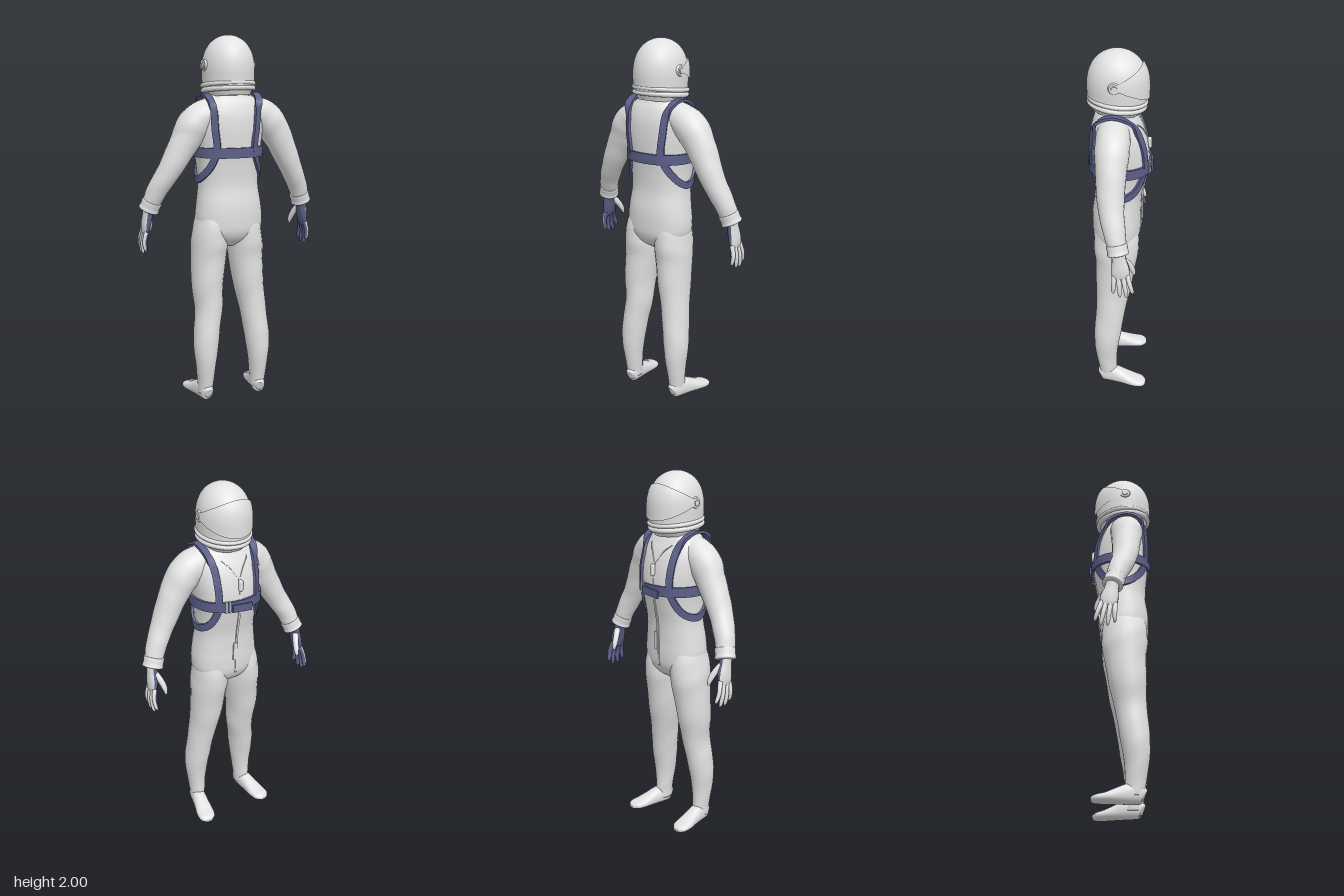
import * as THREE from 'three';

const suit = new THREE.MeshStandardMaterial({ color: 0xe2e2e2 });
const webbing = new THREE.MeshStandardMaterial({ color: 0x5b5f88 });
suit.name = 'suitGrey';
webbing.name = 'webbingBlue';

const V = (x, y, z) => new THREE.Vector3(x, y, z);
const Z = V(0, 0, 1), Y = V(0, 1, 0);

function add(parent, name, geo, mat = suit) {
  const m = new THREE.Mesh(geo, mat);
  m.name = name;
  parent.add(m);
  return m;
}

function buildGeometry(pos, idx) {
  const g = new THREE.BufferGeometry();
  g.setAttribute('position', new THREE.Float32BufferAttribute(pos, 3));
  g.setIndex(idx);
  g.computeVertexNormals();
  return g;
}

// Smooth closed tube through sections [x, y, z, radiusA, radiusB].
// "level" keeps rings horizontal; "palm" puts the faces on that side (beyond "edge") in a second material group.
function loft(sections, { steps = 40, n = 24, ref = Z, level = false, pow = 2, fold = 0, palm = 0, edge = 0 } = {}) {
  const path = new THREE.CatmullRomCurve3(sections.map(s => V(s[0], s[1], s[2])), false, 'catmullrom');
  const size = new THREE.CatmullRomCurve3(sections.map(s => V(s[3], s[4], 0)), false, 'catmullrom');
  const pos = [], outer = [], inner = [];
  const down = sections[0][1] > sections[sections.length - 1][1];
  const rings = steps + 3;
  for (let i = 0; i < rings; i++) {
    const t = Math.min(Math.max((i - 1) / steps, 0), 1);
    const c = path.getPoint(t), r = size.getPoint(t);
    const T = level ? V(0, down ? -1 : 1, 0) : path.getTangent(t);
    const side = T.clone().cross(ref).normalize(), fwd = side.clone().cross(T);
    const cap = i === 0 || i === rings - 1 ? 0 : 1;
    for (let j = 0; j < n; j++) {
      const a = j / n * Math.PI * 2, co = Math.cos(a), si = Math.sin(a);
      const k = cap * (1 + fold * Math.sin(t * 40 + 2.5 * Math.sin(a)) * Math.sin(t * 9 + a));
      const p = c.clone()
        .addScaledVector(side, Math.sign(co) * Math.abs(co) ** (2 / pow) * r.x * k)
        .addScaledVector(fwd, Math.sign(si) * Math.abs(si) ** (2 / pow) * r.y * k);
      pos.push(p.x, p.y, p.z);
      if (i === rings - 1) continue;
      const j2 = (j + 1) % n, A = i * n + j, B = i * n + j2;
      const list = palm && Math.cos((j + 0.5) / n * Math.PI * 2) * palm > edge ? inner : outer;
      list.push(A, A + n, B, B, A + n, B + n);
    }
  }
  const g = buildGeometry(pos, [...outer, ...inner]);
  if (palm) {
    g.addGroup(0, outer.length, 0);
    g.addGroup(outer.length, inner.length, 1);
  }
  return g;
}

// Torso rings from crotch to neck: [y, half width, half depth, centre z]
const TORSO = [
  [0.865, 0.04, 0.05, 0.045], [0.9, 0.12, 0.1, 0.045], [0.95, 0.178, 0.128, 0.045], [1.02, 0.188, 0.135, 0.045],
  [1.1, 0.18, 0.134, 0.044], [1.2, 0.167, 0.13, 0.035], [1.3, 0.17, 0.142, 0.028], [1.4, 0.182, 0.156, 0.025],
  [1.5, 0.192, 0.153, 0.032], [1.58, 0.19, 0.138, 0.042], [1.64, 0.165, 0.113, 0.05], [1.68, 0.125, 0.092, 0.05],
  [1.72, 0.1, 0.085, 0.045],
];
const POW = 2.3;

// Lay a point on the torso; near the shoulder top it is left free. Returns [point, outward normal].
function lay(p, lift) {
  let i = 0;
  while (i < TORSO.length - 2 && TORSO[i + 1][0] < p.y) i++;
  const [A, B] = [TORSO[i], TORSO[i + 1]], f = THREE.MathUtils.clamp((p.y - A[0]) / (B[0] - A[0]), 0, 1);
  const [, a, b, cz] = A.map((v, k) => v + (B[k] - v) * f);
  const u = p.x / a, v = (p.z - cz) / b;
  const k = (Math.abs(u) ** POW + Math.abs(v) ** POW) ** (1 / POW);
  const w = THREE.MathUtils.clamp((1.66 - p.y) / 0.08, 0, 1);
  const nrm = V(u / a, 0, v / b).normalize();
  const q = V(p.x / k, p.y, cz + (p.z - cz) / k).addScaledVector(nrm, lift);
  return [p.clone().lerp(q, w), Y.clone().lerp(nrm, w).normalize()];
}

// Flat strap of rectangular section following the torso
function ribbon(points, width, thick, { closed = false, steps = 72, lift = 0.006 } = {}) {
  const curve = new THREE.CatmullRomCurve3(points, closed, 'catmullrom');
  const laid = [], pos = [], idx = [];
  for (let i = 0; i <= steps; i++) laid.push(lay(curve.getPoint(i / steps), lift));
  const corners = laid.map(([p, nrm], i) => {
    const before = i > 0 ? i - 1 : closed ? steps - 1 : 0, after = i < steps ? i + 1 : closed ? 1 : steps;
    const T = laid[after][0].clone().sub(laid[before][0]).normalize();
    const N = nrm.clone().addScaledVector(T, -nrm.dot(T)).normalize(), W = T.clone().cross(N);
    return [[1, 1], [-1, 1], [-1, -1], [1, -1]].map(([w, h]) =>
      p.clone().addScaledVector(W, w * width / 2).addScaledVector(N, h * thick / 2));
  });
  for (let s = 0; s < 4; s++) {
    const base = pos.length / 3;
    corners.forEach(c => pos.push(...c[s].toArray(), ...c[(s + 1) % 4].toArray()));
    for (let i = 0; i < steps; i++) {
      const A = base + i * 2;
      idx.push(A, A + 2, A + 1, A + 1, A + 2, A + 3);
    }
  }
  return buildGeometry(pos, idx);
}

// Helmet radius at a height
const domeRadius = y => y <= 1.8 ? 0.141 : 0.141 * Math.sqrt(Math.max(0, 1 - ((y - 1.8) / 0.2) ** 2.5));

function helmet() {
  const g = new THREE.Group();
  g.name = 'helmet';
  g.position.z = 0.04;
  const profile = [new THREE.Vector2(0.137, 1.72)];
  for (let i = 0; i <= 20; i++) {
    const y = 1.8 + 0.2 * Math.sin(i / 20 * Math.PI / 2);
    profile.push(new THREE.Vector2(i === 20 ? 0 : domeRadius(y), y));
  }
  add(g, 'helmetShell', new THREE.LatheGeometry(profile, 48)).scale.z = 1.12;
  // Visor wraps the front and narrows toward the pivots
  const visor = new THREE.PlaneGeometry(2, 2, 40, 14), p = visor.attributes.position;
  for (let i = 0; i < p.count; i++) {
    const a = p.getX(i) * 1.6, y = 1.845 + p.getY(i) * (0.015 + 0.08 * Math.max(0, Math.cos(a)));
    const r = domeRadius(y) + 0.007;
    p.setXYZ(i, -Math.sin(a) * r, y, -Math.cos(a) * r * 1.14);
  }
  visor.computeVertexNormals();
  add(g, 'visor', visor);
  for (const s of [-1, 1]) {
    for (const [r, x] of [[0.036, 0.136], [0.02, 0.142]]) {
      const pivot = add(g, 'visorPivot', new THREE.CylinderGeometry(r * 0.75, r, 0.016, 24));
      pivot.rotation.z = -s * Math.PI / 2;
      pivot.position.set(s * x, 1.84, 0.01);
    }
  }
  // Neck rings dip toward the front
  const neck = new THREE.Group();
  neck.name = 'neckRing';
  neck.position.y = 1.725;
  neck.rotation.x = -0.11;
  neck.scale.z = 1.08;
  for (const [y, r, tube] of [[0.014, 0.137, 0.012], [-0.012, 0.133, 0.014]]) {
    const ring = add(neck, 'ring', new THREE.TorusGeometry(r, tube, 12, 48));
    ring.rotation.x = Math.PI / 2;
    ring.position.y = y;
  }
  add(neck, 'collar', new THREE.CylinderGeometry(0.133, 0.115, 0.04, 40)).position.y = -0.03;
  g.add(neck);
  return g;
}

// Palm faces inward, thumb points forward and in
function hand(s) {
  const g = new THREE.Group();
  g.name = s > 0 ? 'rightHand' : 'leftHand';
  const mats = [suit, webbing], opt = { steps: 14, n: 16, palm: s, edge: 0.1 };
  add(g, 'palm', loft([[0, 0.03, 0, 0.033, 0.036], [0, -0.02, 0, 0.028, 0.037], [0, -0.07, -0.002, 0.025, 0.046],
    [0, -0.11, 0, 0.019, 0.046], [-s * 0.002, -0.135, 0, 0.011, 0.038]], { ...opt, edge: -0.3 }), mats);
  [[-0.034, 0.105], [-0.012, 0.125], [0.011, 0.119], [0.033, 0.094]].forEach(([z, len]) => {
    add(g, 'finger', loft([[0, -0.11, z, 0.014, 0.013], [s * 0.005, -0.12 - len * 0.45, z * 1.25, 0.013, 0.012],
      [-s * 0.004, -0.12 - len * 0.85, z * 1.45, 0.011, 0.01], [-s * 0.011, -0.12 - len, z * 1.5, 0.005, 0.005]], opt), mats);
  });
  add(g, 'thumb', loft([[-s * 0.006, -0.025, -0.02, 0.018, 0.017], [-s * 0.03, -0.065, -0.044, 0.017, 0.017],
    [-s * 0.046, -0.105, -0.06, 0.014, 0.014], [-s * 0.052, -0.135, -0.066, 0.006, 0.006]], { steps: 14, n: 16 }));
  return g;
}

function arm(s, sections) {
  const g = new THREE.Group();
  g.name = s > 0 ? 'rightArm' : 'leftArm';
  add(g, 'sleeve', loft(sections, { fold: 0.015, steps: 56 }));
  const [a, b] = sections.slice(-2).map(q => V(q[0], q[1], q[2]));
  const d = b.clone().sub(a).normalize();
  add(g, 'cuff', loft([[-0.04, 0.048], [-0.035, 0.055], [-0.005, 0.054], [0.015, 0.056], [0.02, 0.04]].map(([t, r]) =>
    [...b.clone().addScaledVector(d, t).toArray(), r, r]), { steps: 16 }));
  const h = hand(s);
  h.position.copy(b).addScaledVector(d, 0.022);
  h.rotation.set(s > 0 ? 0.1 : 0.17, 0, s * 0.13);
  g.add(h);
  return g;
}

function leg(s, spread, turn) {
  const g = new THREE.Group();
  g.name = s > 0 ? 'rightLeg' : 'leftLeg';
  add(g, 'trouserLeg', loft([
    [0.08, 1.1, 0.045, 0.06, 0.09], [0.088, 1.0, 0.045, 0.086, 0.118], [0.094, 0.9, 0.045, 0.097, 0.125],
    [0.1, 0.8, 0.048, 0.096, 0.114], [0.112, 0.65, 0.06, 0.086, 0.1], [0.13, 0.52, 0.075, 0.077, 0.086],
    [0.146, 0.4, 0.09, 0.072, 0.08], [0.155, 0.3, 0.1, 0.068, 0.074], [0.157, 0.2, 0.103, 0.055, 0.062],
    [0.157, 0.1, 0.095, 0.044, 0.053], [0.157, 0.04, 0.09, 0.04, 0.05],
  ].map(([x, ...r]) => [s * (x + (r[0] > 0.6 ? spread : 0)), ...r]), { level: true, fold: 0.015, steps: 66 }));
  add(g, 'foot', loft([
    [0, 0.042, 0.142, 0.016, 0.024], [0.06, 0.048, 0.125, 0.034, 0.045], [0.25, 0.052, 0.065, 0.041, 0.052],
    [0.5, 0.041, 0.005, 0.045, 0.041], [0.75, 0.029, -0.052, 0.051, 0.028], [0.95, 0.023, -0.1, 0.046, 0.021],
    [1, 0.018, -0.126, 0.022, 0.012],
  ].map(([t, ...r]) => [s * (0.153 + turn * t), ...r]), { ref: Y, pow: 2.3 }));
  return g;
}

function harness() {
  const g = new THREE.Group();
  g.name = 'harness';
  for (const s of [-1, 1]) {
    // Loop over the shoulder, down the back, under the arm and up the front
    const back = s > 0 ? 0 : 0.014, front = s > 0 ? 0.012 : 0;
    const loop = [[0.145, 1.69, 0.06], [0.137, 1.645, 0.15], [0.125 + back, 1.52, 0.18], [0.112 + back, 1.4, 0.178],
      [0.148, 1.3, 0.13], [0.175, 1.235, 0.04], [0.155, 1.27, -0.06], [0.122 + front, 1.38, -0.12],
      [0.126 + front, 1.52, -0.11], [0.137 + front / 2, 1.645, -0.045]];
    add(g, 'shoulderStrap', ribbon(loop.map(([x, y, z]) => V(s * x, y, z)), 0.038, 0.014, { closed: true, steps: 110 }), webbing);
  }
  const ring = Array.from({ length: 24 }, (_, i) => {
    const a = i / 24 * Math.PI * 2;
    return V(Math.sin(a) * 0.18, 1.385, 0.025 + Math.cos(a) * 0.155);
  });
  add(g, 'chestBand', ribbon(ring, 0.054, 0.014, { closed: true, steps: 96, lift: 0.008 }), webbing);
  const flap = add(g, 'bandEnd', new THREE.BoxGeometry(0.12, 0.042, 0.01), webbing);
  flap.position.set(0, 1.372, -0.147);
  flap.rotation.z = 0.1;
  for (const [x, z] of [[0.07, -0.134], [0.088, -0.127]])
    add(g, 'buckle', new THREE.BoxGeometry(0.009, 0.064, 0.012)).position.set(x, 1.385, z);
  return g;
}

function frontZip() {
  const g = new THREE.Group();
  g.name = 'frontZip';
  const line = pts => pts.map(([x, y, z = -0.12]) => V(x, y, z));
  add(g, 'zip', ribbon(line([[0, 1.53], [0, 1.4], [0, 1.2], [0, 1.05], [0, 0.95]]), 0.012, 0.006, { lift: 0.002 }));
  for (const s of [-1, 1])
    add(g, 'collarSeam', ribbon(line([[0, 1.52], [s * 0.04, 1.575], [s * 0.08, 1.625, -0.064]]), 0.005, 0.005, { lift: 0.002, steps: 24 }));
  add(g, 'zipPull', new THREE.CapsuleGeometry(0.013, 0.04, 6, 14)).position.set(0, 1.49, -0.13);
  add(g, 'zipTab', ribbon(line([[0.012, 1.14], [0.016, 1.04]]), 0.022, 0.008, { steps: 12 }));
  return g;
}

export function createModel() {
  const root = new THREE.Group();
  root.name = 'pressureSuitFigure';
  // The figure stands turned, with its chest toward the rear
  const body = new THREE.Group();
  body.name = 'figure';
  body.rotation.y = 0.38;
  root.add(body);
  add(body, 'torso', loft(TORSO.map(([y, a, b, z]) => [0, y, z, a, b]), { level: true, pow: POW, steps: 72, n: 40 }));
  body.add(helmet(), harness(), frontZip(), leg(1, 0, 0.052), leg(-1, 0.02, 0.032));
  body.add(arm(1, [[0.03, 1.6, 0.05, 0.07, 0.075], [0.13, 1.6, 0.055, 0.08, 0.085], [0.22, 1.55, 0.058, 0.09, 0.09],
    [0.288, 1.45, 0.062, 0.08, 0.08], [0.36, 1.3, 0.06, 0.064, 0.068], [0.42, 1.18, 0.04, 0.055, 0.057], [0.452, 1.09, 0.022, 0.048, 0.048]]));
  body.add(arm(-1, [[-0.03, 1.6, 0.05, 0.07, 0.075], [-0.12, 1.59, 0.055, 0.08, 0.085], [-0.2, 1.535, 0.058, 0.09, 0.09],
    [-0.255, 1.44, 0.055, 0.08, 0.08], [-0.333, 1.3, 0.045, 0.064, 0.068], [-0.4, 1.18, 0.012, 0.055, 0.057], [-0.432, 1.09, -0.014, 0.048, 0.048]]));
  return root;
}
